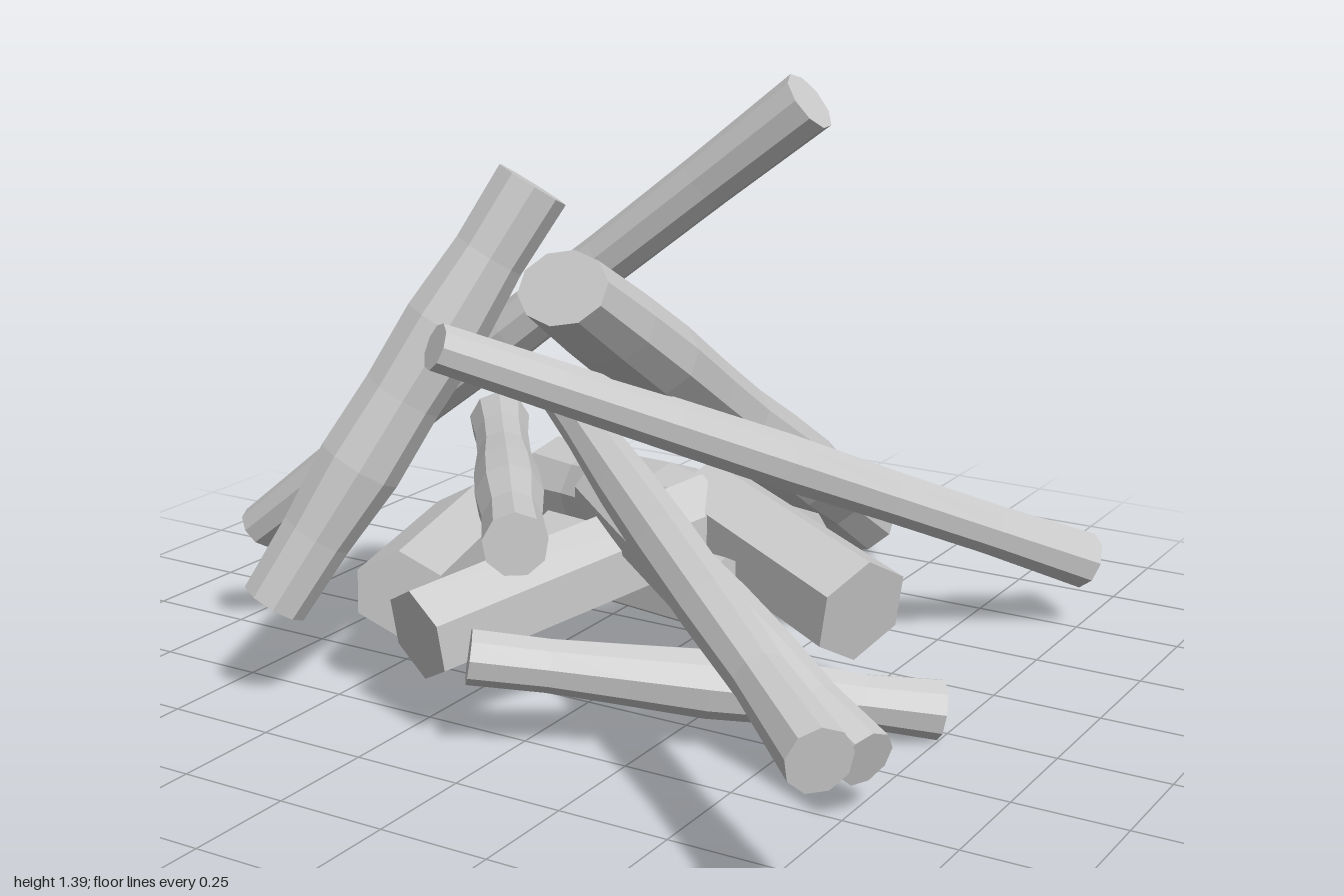
import * as THREE from 'three';

const material = new THREE.MeshStandardMaterial({ color: 0xcccccc, flatShading: true });

// A piece of wood from a to b; radii are spread evenly along its length.
// flat squeezes the cross-section across its upright direction.
function wood(name, a, b, radii, sides = 9, flat = 1) {
  const start = new THREE.Vector3(...a);
  const end = new THREE.Vector3(...b);
  const axis = end.clone().sub(start);
  const rows = radii.length - 1;
  const geometry = new THREE.CylinderGeometry(1, 1, 1, sides, rows);
  const p = geometry.attributes.position;
  for (let i = 0; i < p.count; i++) {
    const row = Math.round((p.getY(i) + 0.5) * rows);
    p.setXYZ(i, p.getX(i) * radii[row], p.getY(i) * axis.length(), p.getZ(i) * radii[row] * flat);
  }
  geometry.computeVertexNormals();

  const y = axis.clone().normalize();
  const x = new THREE.Vector3().crossVectors(y, new THREE.Vector3(0, 1, 0)).normalize();
  const z = new THREE.Vector3().crossVectors(x, y);
  const mesh = new THREE.Mesh(geometry, material);
  mesh.name = name;
  mesh.quaternion.setFromRotationMatrix(new THREE.Matrix4().makeBasis(x, y, z));
  mesh.position.copy(start).add(end).multiplyScalar(0.5);
  return mesh;
}

export function createModel() {
  const group = new THREE.Group();
  group.name = 'woodPile';

  // Long branches leaning over the top of the pile
  group.add(
    wood('tallLeaningBranch', [-0.92, 0.26, 0.26], [0.43, 1.35, 0.07], [0.053, 0.06, 0.057, 0.064, 0.06, 0.062, 0.068]),
    wood('leftLeaningLog', [-0.59, 0.24, 0.6], [-0.18, 1.14, 0.18], [0.075, 0.08, 0.095, 0.09, 0.095, 0.082, 0.085]),
    wood('thickBackLog', [0.05, 0.12, -0.94], [0.02, 0.97, 0.37], [0.127, 0.117, 0.134, 0.13, 0.12, 0.122, 0.128, 0.122, 0.11], 10, 0.78),
    wood('rightBackBranch', [-0.22, 0.84, 0.49], [0.75, 0.17, -0.78], [0.052, 0.056, 0.06, 0.064, 0.06, 0.06, 0.068])
  );

  // Round logs through the middle of the pile
  group.add(
    wood('frontRightLog', [-0.37, 0.58, -0.19], [0.92, 0.34, 0.94], [0.052, 0.055, 0.065, 0.068, 0.066, 0.058, 0.067]),
    wood('middleLog', [-0.64, 0.42, -0.34], [0.01, 0.46, 0.54], [0.075, 0.065, 0.064, 0.075, 0.078, 0.066, 0.07]),
    wood('lowFrontLog', [-0.07, 0.22, 0.6], [0.74, 0.07, 0.02], [0.06, 0.058, 0.066, 0.075, 0.07, 0.058, 0.066]),
    wood('lowRightLog', [-0.08, 0.45, 0.08], [0.79, 0.14, 0.48], [0.065, 0.07, 0.072, 0.074, 0.07, 0.06, 0.064]),
    wood('thickLowBackLog', [-0.59, 0.21, -0.54], [0.3, 0.3, -0.18], [0.125, 0.112, 0.122, 0.125, 0.105, 0.09, 0.085])
  );

  // Six-sided blocks at the base
  group.add(
    wood('rightBlock', [0.07, 0.37, -0.14], [0.57, 0.27, 0.06], [0.12, 0.125], 6, 0.95),
    wood('frontBlock', [0.1, 0.36, -0.1], [-0.21, 0.235, 0.59], [0.115, 0.115], 6, 0.9),
    wood('leftBlock', [-0.57, 0.22, -0.13], [-0.37, 0.25, 0.44], [0.11, 0.11], 6, 0.9),
    wood('innerBlock', [-0.3, 0.23, -0.05], [0.25, 0.25, 0.08], [0.1, 0.1], 6, 0.9)
  );
  return group;
}
